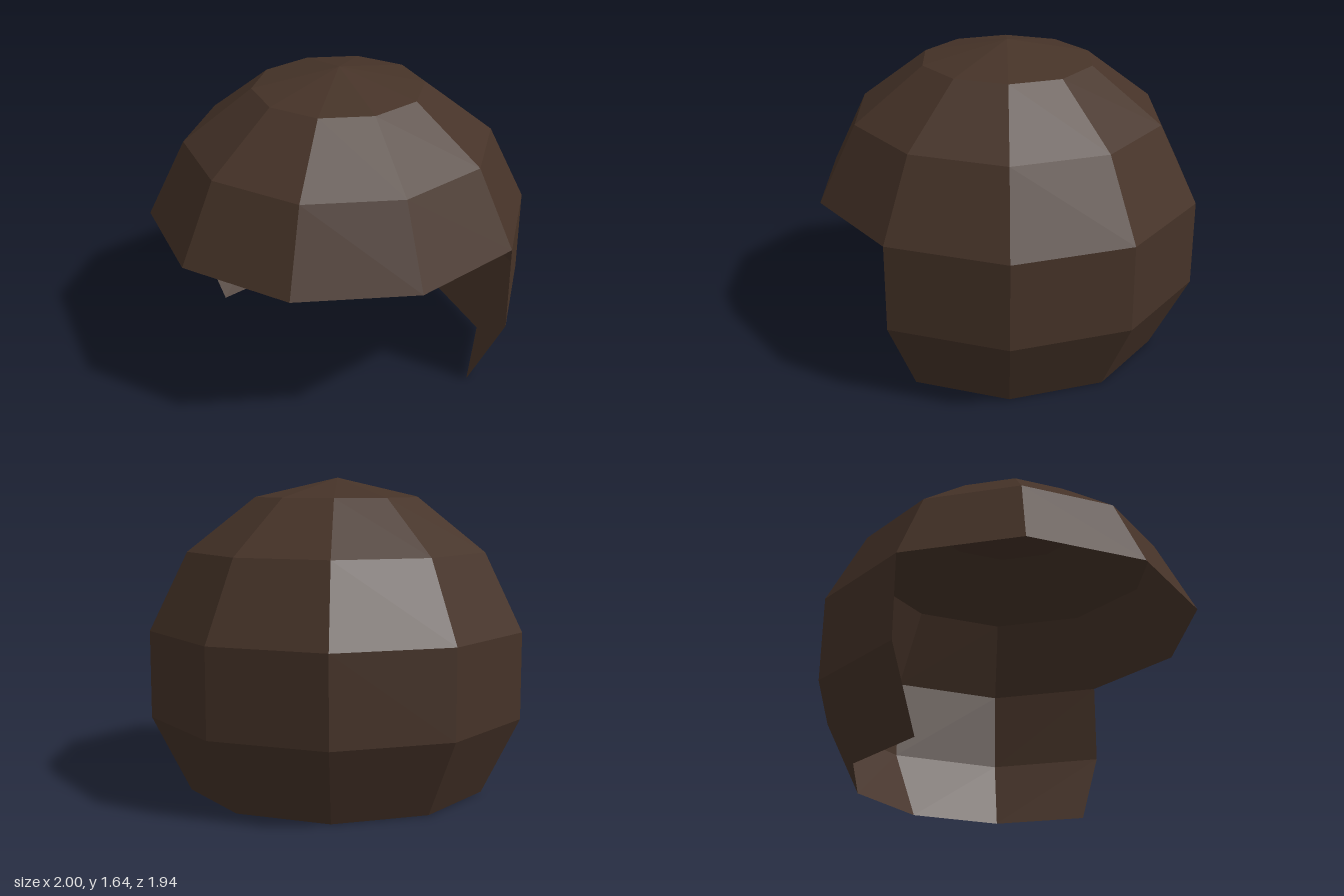
import * as THREE from 'three';

export function createModel() {
  const group = new THREE.Group();
  group.name = 'hairCap';

  const darkBrown = new THREE.MeshStandardMaterial({ color: 0x463328 });
  darkBrown.name = 'darkBrown';
  darkBrown.flatShading = true;
  darkBrown.side = THREE.DoubleSide;

  // Faceted shell swept about y, starting at the +x side; profile runs bottom to top
  function shell(name, profile, segments, sweep) {
    const points = profile.map(([r, y]) => new THREE.Vector2(r, y));
    const geometry = new THREE.LatheGeometry(points, segments, Math.PI / 2, sweep);
    geometry.scale(1, 1, 1.02);
    const mesh = new THREE.Mesh(geometry, darkBrown);
    mesh.name = name;
    group.add(mesh);
  }

  // Ten-sided dome over the whole head
  shell('crown', [[1, 0.857], [0.802, 1.26], [0.444, 1.538], [0, 1.638]], 10, Math.PI * 2);

  // Upright band around the back half
  shell('backBand', [[1, 0.405], [1, 0.857]], 5, Math.PI);

  // Nape tapering inward below the band
  shell('nape', [[0.802, 0], [1, 0.405]], 5, Math.PI);

  return group;
}
